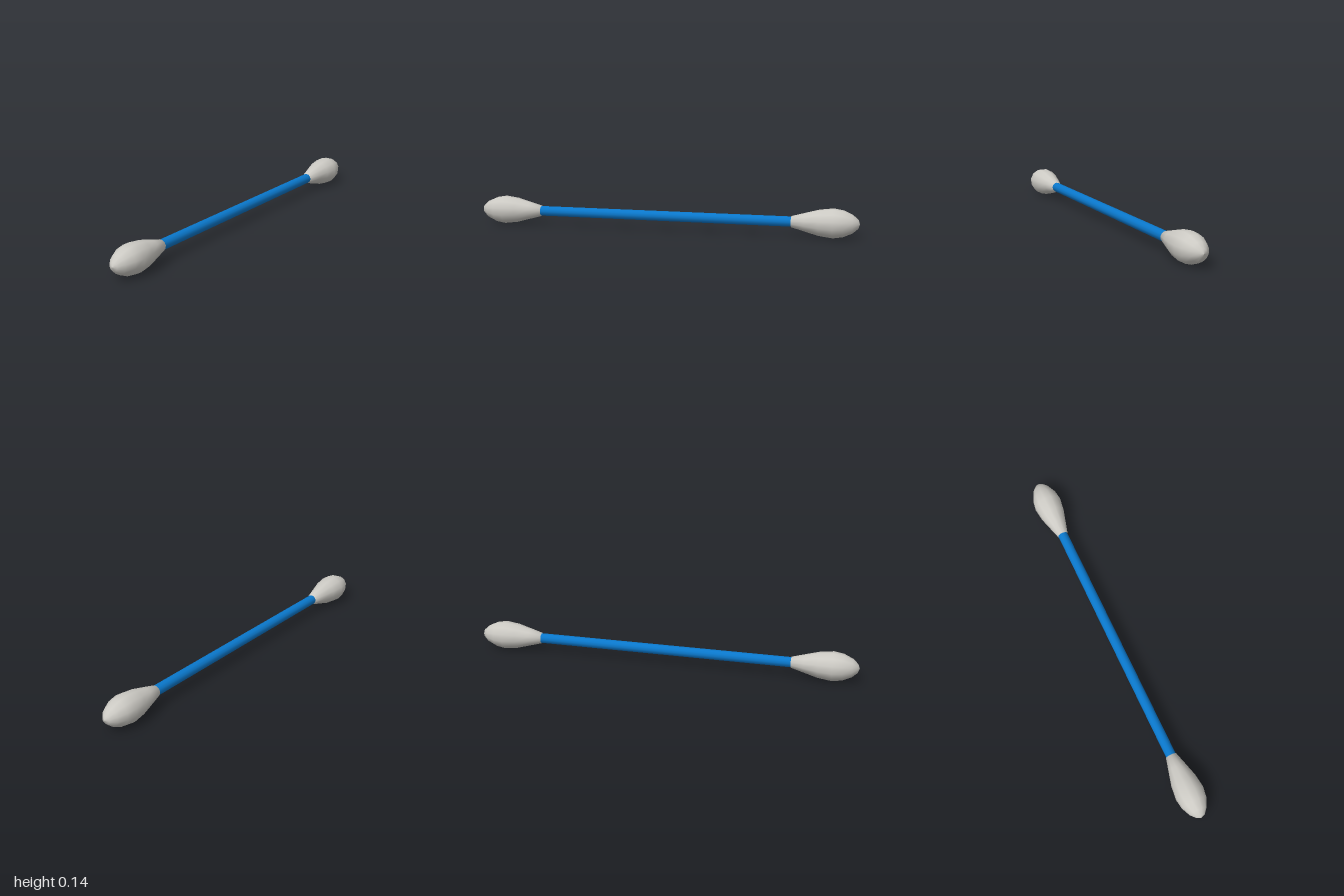
import * as THREE from 'three';

const SIDES = 12;
const AXIS_Y = 0.073;
const deg = THREE.MathUtils.degToRad;

export function createModel() {
  const model = new THREE.Group();
  model.name = 'cottonSwab';

  const blue = new THREE.MeshStandardMaterial({ color: 0x0a78cc });
  blue.name = 'blue plastic';
  const cotton = new THREE.MeshStandardMaterial({ color: 0xcccac4 });
  cotton.name = 'cotton';

  // Straight stick along z, running into both tips
  const stick = new THREE.Mesh(new THREE.CylinderGeometry(0.026, 0.026, 1.36, SIDES), blue);
  stick.name = 'stick';
  stick.rotation.x = Math.PI / 2;
  stick.position.y = AXIS_Y;
  model.add(stick);

  // Bud profile: [radius, distance from the middle]
  const profile = [
    [0, 0.665], [0.028, 0.665], [0.046, 0.73], [0.065, 0.8], [0.074, 0.87],
    [0.066, 0.92], [0.046, 0.965], [0.022, 0.992], [0, 1],
  ].map(([r, d]) => new THREE.Vector2(r, d));

  // Cotton buds, with their facets lined up at both ends
  for (const [name, side, start] of [['frontBud', 1, 12], ['backBud', -1, 18]]) {
    const geometry = new THREE.LatheGeometry(profile, SIDES, deg(start));
    const bud = new THREE.Mesh(geometry, cotton);
    bud.name = name;
    bud.rotation.x = side * Math.PI / 2;
    bud.position.y = AXIS_Y;
    model.add(bud);
  }
  return model;
}
